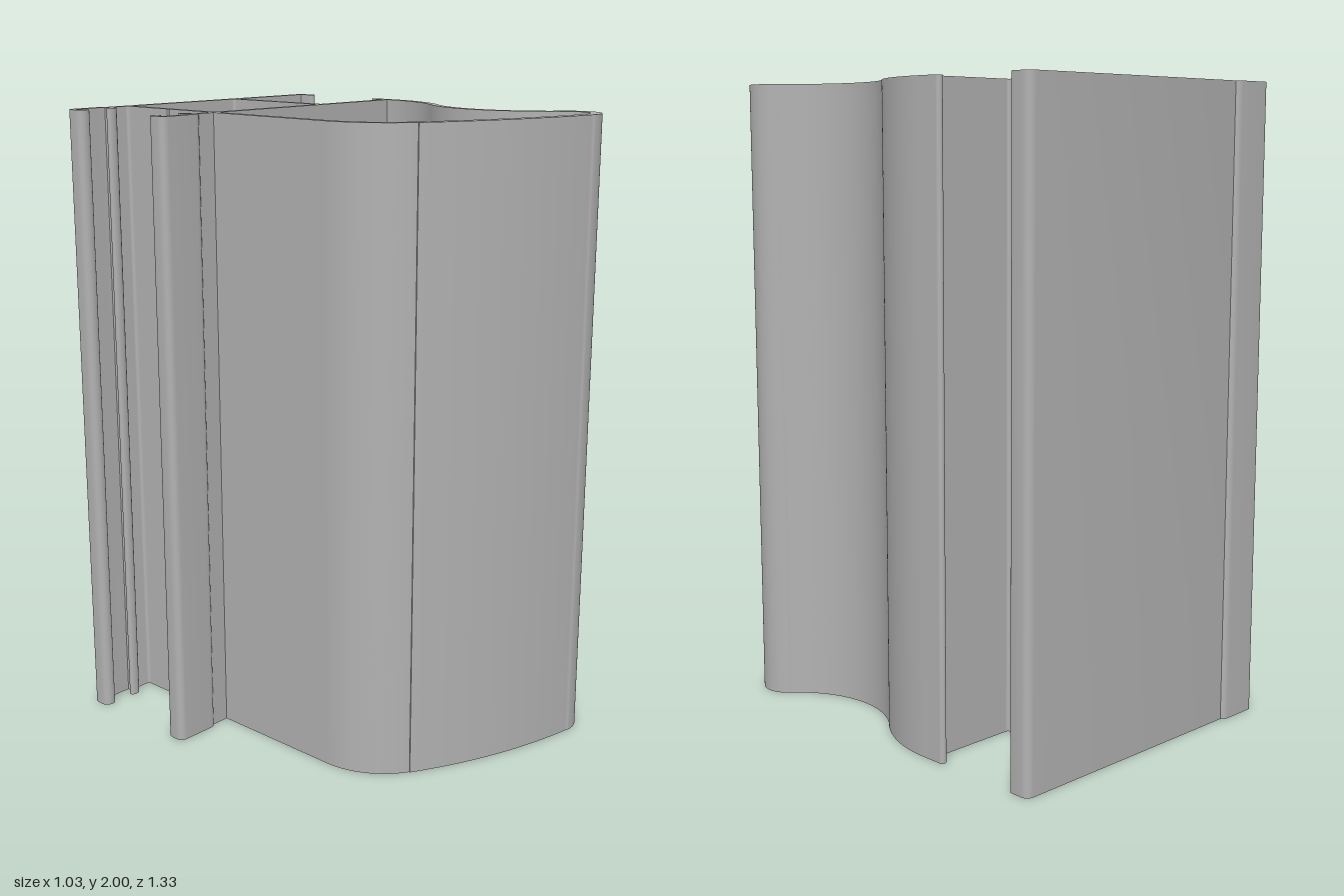
import * as THREE from 'three';
import { toCreasedNormals } from 'three/addons/utils/BufferGeometryUtils.js';

const LENGTH = 2;
const MID = -0.441; // mirror line between the back and front plates
const rad = THREE.MathUtils.degToRad;

// Sections are drawn in (x, z) and extruded along y.
function extrude(shape, segments) {
  let geo = new THREE.ExtrudeGeometry(shape, { depth: LENGTH, bevelEnabled: false, curveSegments: segments });
  geo.rotateX(Math.PI / 2);
  geo.translate(0, LENGTH, 0);
  // enlarge while creasing so that tiny radii are not welded together
  geo.scale(100, 100, 100);
  geo = toCreasedNormals(geo, rad(32));
  geo.scale(0.01, 0.01, 0.01);
  return geo;
}

// Sheet of constant thickness around a centreline, with optional round ends
function strip(points, width, round) {
  const r = width / 2;
  const left = [], right = [];
  const dirs = points.map((p, i) => {
    const a = points[Math.max(i - 1, 0)], b = points[Math.min(i + 1, points.length - 1)];
    return b.clone().sub(a).normalize();
  });
  points.forEach((p, i) => {
    const n = new THREE.Vector2(-dirs[i].y, dirs[i].x).multiplyScalar(r);
    left.push(p.clone().add(n));
    right.push(p.clone().sub(n));
  });
  const cap = (p, d) => {
    const out = [];
    const start = Math.atan2(d.y, d.x) + Math.PI / 2;
    for (let k = 1; k < 8; k++) {
      const a = start - (k * Math.PI) / 8;
      out.push(new THREE.Vector2(p.x + r * Math.cos(a), p.y + r * Math.sin(a)));
    }
    return out;
  };
  const last = points.length - 1;
  const endCap = round ? cap(points[last], dirs[last]) : [];
  const startCap = round ? cap(points[0], dirs[0].clone().negate()) : [];
  return new THREE.Shape([...left, ...endCap, ...right.reverse(), ...startCap]);
}

// C-shaped clip channel centreline with curled lips
function channelPath() {
  const p = new THREE.Path();
  p.moveTo(-0.489, -0.608);
  p.bezierCurveTo(-0.502, -0.604, -0.51, -0.61, -0.51, -0.622);
  p.lineTo(-0.51, -0.641);
  p.quadraticCurveTo(-0.51, -0.655, -0.496, -0.655);
  p.lineTo(-0.389, -0.655);
  p.quadraticCurveTo(-0.375, -0.655, -0.375, -0.641);
  p.lineTo(-0.375, -0.622);
  p.bezierCurveTo(-0.375, -0.61, -0.383, -0.604, -0.396, -0.608);
  return p.getPoints(8);
}

// Back plate centreline, ending in a turned lip
function backPlatePath() {
  const p = new THREE.Path();
  p.moveTo(-0.375, -0.643);
  p.lineTo(0.488, -0.643);
  p.quadraticCurveTo(0.5035, -0.643, 0.5035, -0.628);
  p.lineTo(0.5035, -0.591);
  return p.getPoints(8);
}

// Cross web with flared ends and a small score line on one side
function webShape(x0, x1, scoreLeft) {
  const z0 = -0.633, z1 = -0.249, f = 0.013, n = 0.005;
  const s = new THREE.Shape();
  s.moveTo(x0 - f, z0);
  s.quadraticCurveTo(x0, z0, x0, z0 + f);
  if (scoreLeft) {
    s.lineTo(x0, MID - n);
    s.lineTo(x0 + n, MID);
    s.lineTo(x0, MID + n);
  }
  s.lineTo(x0, z1 - f);
  s.quadraticCurveTo(x0, z1, x0 - f, z1);
  s.lineTo(x1 + f, z1);
  s.quadraticCurveTo(x1, z1, x1, z1 - f);
  if (!scoreLeft) {
    s.lineTo(x1, MID + n);
    s.lineTo(x1 - n, MID);
    s.lineTo(x1, MID - n);
  }
  s.lineTo(x1, z0 + f);
  s.quadraticCurveTo(x1, z0, x1 + f, z0);
  return s;
}

// Curved hollow nose wall made of tangent arcs: outside, then back along the inside
function noseShape() {
  const s = new THREE.Shape();
  const arc = (x, z, r, a, b) => s.absarc(x, z, r, rad(a), rad(b), b < a);
  s.moveTo(-0.307, -0.231);
  s.lineTo(-0.307, 0.231);
  arc(-0.042, 0.231, 0.265, 180, 120);
  arc(0.617, -0.908, 1.584, 120, 98);
  arc(0.411, 0.573, 0.09, 98, -50.3);
  arc(0.677, 0.252, 0.327, 129.7, 218.7);
  arc(0.09, -0.217, 0.425, 38.7, 0);
  s.lineTo(0.515, -0.291);
  arc(0.5035, -0.291, 0.0115, 0, -180);
  s.lineTo(0.492, -0.217);
  arc(0.09, -0.217, 0.402, 0, 38.7);
  arc(0.677, 0.252, 0.35, 218.7, 135);
  arc(0.411, 0.573, 0.055, -46, 98);
  arc(0.617, -0.908, 1.55, 98, 120.3);
  arc(-0.044, 0.223, 0.24, 120.3, 180);
  s.lineTo(-0.284, -0.231);
  return s;
}

export function createModel() {
  const model = new THREE.Group();
  model.name = 'extrudedProfile';
  const aluminium = new THREE.MeshStandardMaterial({ color: 0xb2b2b2 });
  aluminium.name = 'plain grey';

  const add = (name, shape, segments = 8) => {
    const mesh = new THREE.Mesh(extrude(shape, segments), aluminium);
    mesh.name = name;
    model.add(mesh);
  };
  const mirror = (pts) => pts.map((p) => new THREE.Vector2(p.x, 2 * MID - p.y));
  const v = (x, z) => new THREE.Vector2(x, z);

  add('noseWall', noseShape(), 28);

  // plates
  add('backPlate', strip(backPlatePath(), 0.021, true));
  add('frontPlate', strip([v(-0.375, -0.239), v(0.494, -0.239)], 0.021, false));

  // webs between the plates
  add('rightWeb', webShape(-0.301, -0.281, true));
  add('leftWeb', webShape(0.166, 0.187, false));

  // clip channels
  add('backChannel', strip(channelPath(), 0.02, true));
  add('frontChannel', strip(mirror(channelPath()), 0.02, true));

  return model;
}
